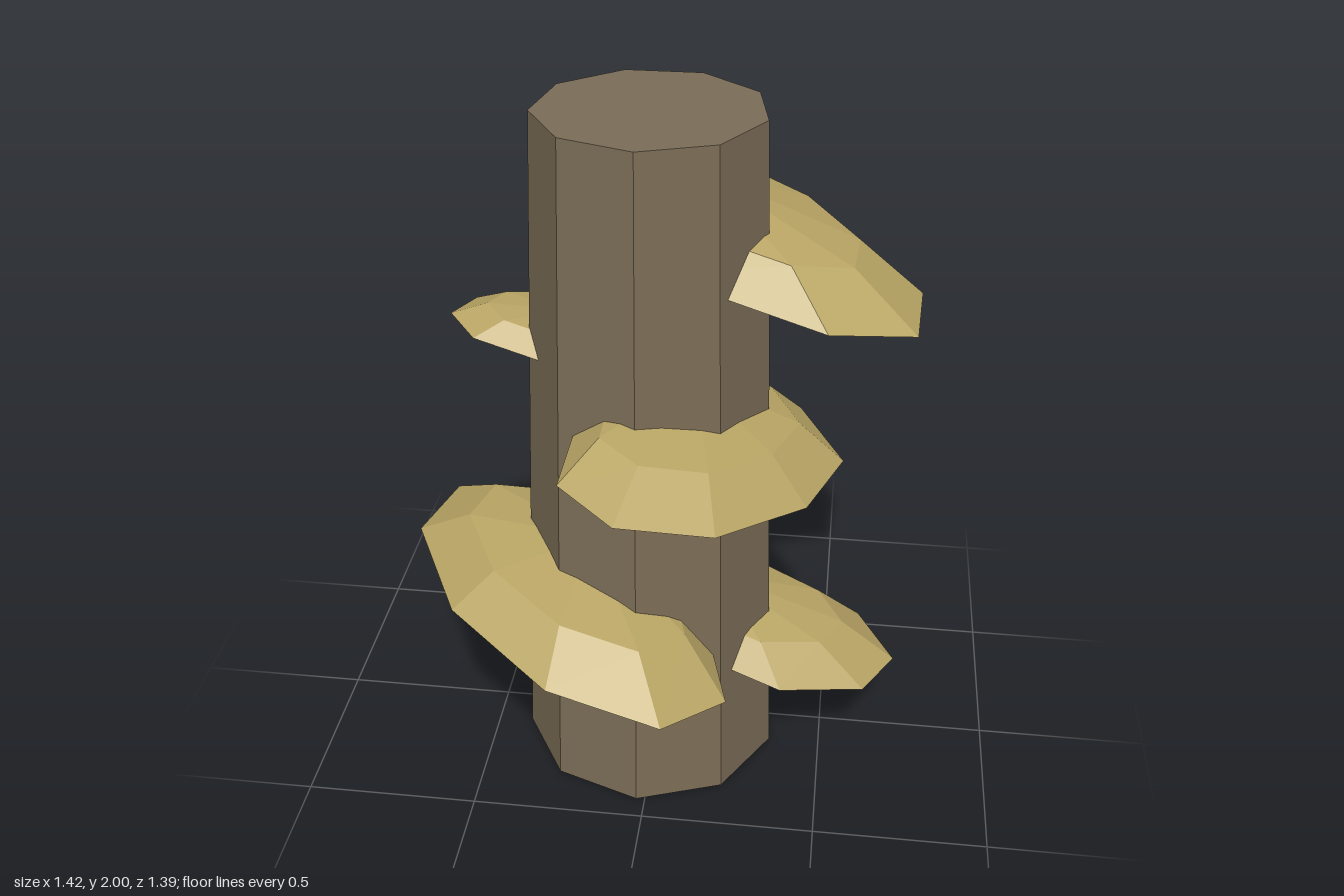
import * as THREE from 'three';

const bark = new THREE.MeshStandardMaterial({ color: 0x7a6c56, flatShading: true });
bark.name = 'bark';
const fungus = new THREE.MeshStandardMaterial({ color: 0xb8a464, flatShading: true });
fungus.name = 'fungus';

const SLOPE = -0.225; // every shelf tips down towards +x

// Faceted dome: rim outline [x, z], a raised inner ring, an apex and a flat underside
function shelfGeometry({ y, center, ringHeight, height, rim }) {
  const at = (x, z, h) => [x, y + SLOPE * x + h, z];
  const [cx, cz] = center;
  const outer = rim.map(([x, z]) => at(x, z, 0));
  const inner = rim.map(([x, z]) => at(cx + (x - cx) * 0.7, cz + (z - cz) * 0.7, ringHeight));
  const apex = at(cx, cz, height);
  const base = at(cx, cz, 0);
  const pos = [];
  const tri = (...corners) => corners.forEach((p) => pos.push(...p));
  rim.forEach((_, i) => {
    const j = (i + 1) % rim.length;
    tri(outer[i], outer[j], inner[j]);
    tri(outer[i], inner[j], inner[i]);
    tri(inner[i], inner[j], apex);
    tri(outer[j], outer[i], base);
  });
  const geometry = new THREE.BufferGeometry();
  geometry.setAttribute('position', new THREE.Float32BufferAttribute(pos, 3));
  geometry.computeVertexNormals();
  return geometry;
}

const shelves = [
  {
    name: 'topRightShelf', y: 1.625, center: [0.11, -0.06], ringHeight: 0.11, height: 0.19,
    rim: [[0.69, 0.2], [0.705, -0.07], [0.49, -0.36], [0.15, -0.535], [-0.17, -0.51],
      [-0.3, -0.31], [-0.17, 0], [0, 0.23], [0.46, 0.32]],
  },
  {
    name: 'smallSideShelf', y: 1.25, center: [-0.24, 0], ringHeight: 0.055, height: 0.085,
    rim: [[-0.585, 0.04], [-0.5, 0.145], [-0.31, 0.175], [-0.15, 0.15], [-0.15, -0.15],
      [-0.25, -0.18], [-0.39, -0.175], [-0.54, -0.085]],
  },
  {
    name: 'frontShelf', y: 1.137, center: [0.1, 0.13], ringHeight: 0.09, height: 0.16,
    rim: [[0.43, 0.38], [0.52, 0.1], [0.39, -0.13], [0.1, -0.1], [-0.15, 0.1],
      [-0.2, 0.31], [-0.2, 0.57], [-0.04, 0.69], [0.21, 0.62]],
  },
  {
    name: 'backShelf', y: 0.86, center: [0, -0.25], ringHeight: 0.085, height: 0.13,
    rim: [[0.27, -0.13], [0.29, -0.33], [0.23, -0.5], [0.06, -0.7], [-0.135, -0.685],
      [-0.27, -0.46], [-0.3, -0.17], [0, 0]],
  },
  {
    name: 'wideCornerShelf', y: 0.53, center: [-0.18, 0.18], ringHeight: 0.115, height: 0.19,
    rim: [[-0.71, 0.1], [-0.54, 0.43], [-0.235, 0.66], [0.08, 0.695], [0.24, 0.52],
      [0.15, 0.2], [-0.1, 0], [-0.28, -0.19], [-0.4, -0.235], [-0.655, -0.16]],
  },
  {
    name: 'lowerRightShelf', y: 0.45, center: [0.17, 0.04], ringHeight: 0.09, height: 0.15,
    rim: [[0.62, 0.22], [0.71, 0.04], [0.6, -0.14], [0.355, -0.23], [0.1, -0.15],
      [0.1, 0.25], [0.38, 0.32]],
  },
];

export function createModel() {
  const group = new THREE.Group();
  group.name = 'trunkWithShelfFungi';

  // Tapered nine-sided trunk
  const trunk = new THREE.Mesh(new THREE.CylinderGeometry(0.31, 0.38, 2, 9), bark);
  trunk.name = 'trunk';
  trunk.position.set(-0.025, 1, 0.05);
  group.add(trunk);

  // Shelf fungi growing around the trunk
  for (const shelf of shelves) {
    const mesh = new THREE.Mesh(shelfGeometry(shelf), fungus);
    mesh.name = shelf.name;
    group.add(mesh);
  }
  return group;
}
